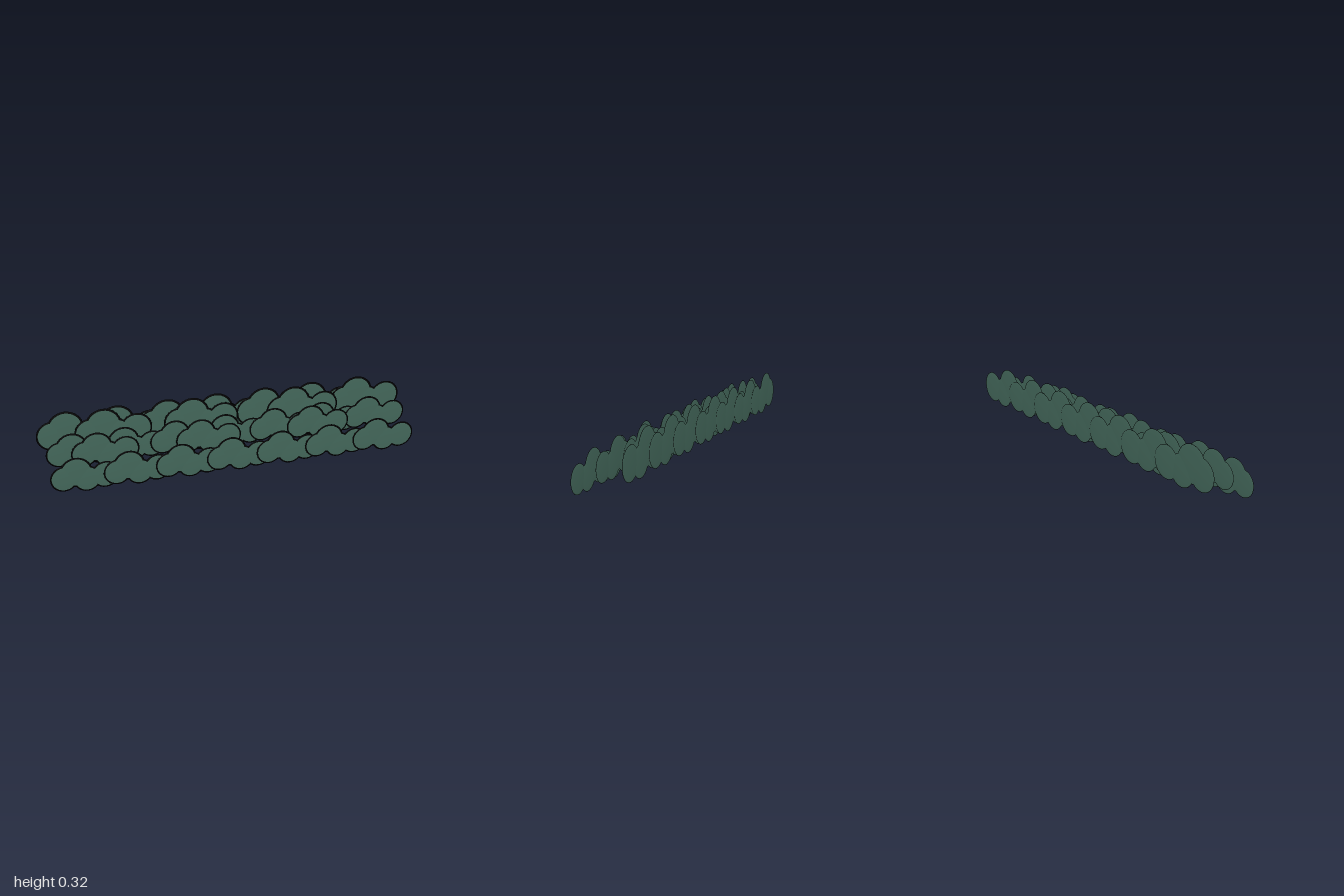
import * as THREE from 'three';

const leaf = new THREE.MeshStandardMaterial({ color: 0x43675a });
leaf.name = 'leaf green';
const ink = new THREE.MeshStandardMaterial({ color: 0x000000 });
ink.name = 'outline black';

// Bands of a unit sphere with its pole along +z, from angle a to angle b
function band(a, b, rows) {
  return new THREE.SphereGeometry(1, 32, rows, 0, Math.PI * 2, a, b - a).rotateX(Math.PI / 2);
}
const RIM_START = 1.09, RIM_END = Math.PI / 2 + 0.22;
const pieces = [
  ['foliageFront', band(0, RIM_START, 5), leaf],
  ['outline', band(RIM_START, RIM_END, 4), ink],
  ['foliageBack', band(RIM_END, Math.PI, 6), leaf],
];

// Lobes of one bush: x, y, radius
const lobes = [
  [-0.105, 0.085, 0.07],
  [-0.045, 0.113, 0.082],
  [0.01, 0.07, 0.07],
  [0.102, 0.08, 0.073],
];
const HALF_DEPTH = 0.0028;

// Flat cloud-shaped bush, turned so its left end laps over the one beside it
function makeBush(x, y, z, size) {
  const bush = new THREE.Group();
  bush.name = 'bush';
  for (const [lx, ly, lr] of lobes) {
    const lobe = new THREE.Group();
    lobe.name = 'lobe';
    for (const [name, geometry, material] of pieces) {
      const mesh = new THREE.Mesh(geometry, material);
      mesh.name = name;
      lobe.add(mesh);
    }
    lobe.position.set(lx * size, ly * size, 0);
    lobe.scale.set(lr * size, lr * size, HALF_DEPTH);
    bush.add(lobe);
  }
  bush.position.set(x, y, z);
  bush.rotation.y = 0.022;
  return bush;
}

export function createModel() {
  const hedge = new THREE.Group();
  hedge.name = 'hedge';

  // Three rows of seven, with extra bushes [x, z] in front of the rear two
  const rows = [
    { name: 'frontRow', y: 0, z: 0.137, size: 1, extras: [] },
    { name: 'middleRow', y: 0.07, z: 0.008, size: 1,
      extras: [[-0.675, 0.032], [-0.135, 0.032], [0.465, 0.032]] },
    { name: 'backRow', y: 0.092, z: -0.137, size: 1.17,
      extras: [[-0.605, -0.117], [-0.135, -0.117], [0.425, -0.107]] },
  ];
  for (const { name, y, z, size, extras } of rows) {
    const row = new THREE.Group();
    row.name = name;
    for (let i = 0; i < 7; i++) row.add(makeBush((i - 3) * 0.266, y, z, size));
    for (const [ex, ez] of extras) row.add(makeBush(ex, y, ez, size));
    hedge.add(row);
  }
  return hedge;
}
